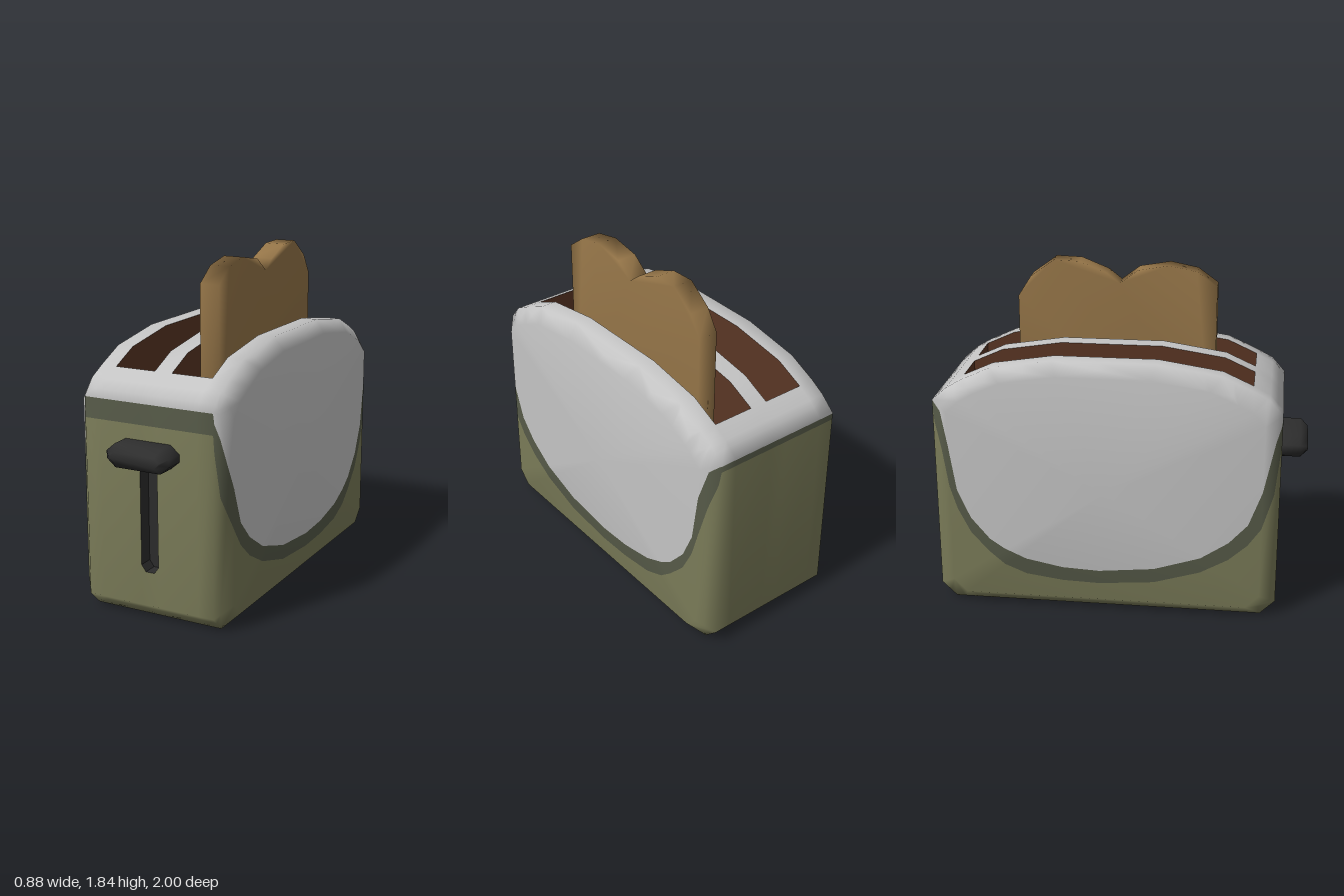
import * as THREE from 'three';
import { mergeVertices } from 'three/addons/utils/BufferGeometryUtils.js';

const material = (name, color, side = THREE.FrontSide) => {
  const m = new THREE.MeshStandardMaterial({ color, side });
  m.name = name;
  return m;
};

// Side outline of the body as [z, y]; points 4 to 9 span the bread slots
const PROFILE = [
  [0.78, 0], [0.86, 0.08], [0.86, 1.16], [0.79, 1.24], [0.7, 1.287], [0.54, 1.36], [0.2, 1.412],
  [-0.35, 1.412], [-0.68, 1.36], [-0.84, 1.287], [-0.92, 1.24], [-1, 1.17], [-1, 0.08], [-0.92, 0],
];
const STATIONS = [-0.44, -0.37, -0.28, -0.05, 0.05, 0.28, 0.37, 0.44];

// Paint boundaries as [z, top of base colour, top of trim]
const PAINT = [
  [0.86, 1.045, 1.155], [0.855, 0.95, 1.1], [0.83, 0.72, 1.02], [0.77, 0.54, 0.75], [0.7, 0.44, 0.56],
  [0.6, 0.35, 0.45], [0.45, 0.265, 0.35], [0.2, 0.19, 0.27], [-0.1, 0.165, 0.24], [-0.3, 0.172, 0.25],
  [-0.5, 0.2, 0.29], [-0.62, 0.25, 0.345], [-0.7, 0.32, 0.4], [-0.8, 0.43, 0.52], [-0.87, 0.57, 0.68],
  [-0.91, 0.7, 0.95], [-0.95, 0.9, 1.12], [-0.99, 1.05, 1.16], [-1, 1.13, 1.166],
];
const paintLevel = (z, column) => {
  const last = PAINT.length - 1;
  if (z >= PAINT[0][0]) return PAINT[0][column];
  if (z <= PAINT[last][0]) return PAINT[last][column];
  const i = PAINT.findIndex((row) => row[0] <= z);
  const a = PAINT[i - 1], b = PAINT[i];
  return a[column] + (b[column] - a[column]) * (z - a[0]) / (b[0] - a[0]);
};

// Cuts triangles along f = 0; vertices are [x, y, z, nx, ny, nz]
function split(tris, f) {
  const above = [], below = [];
  for (const tri of tris) {
    const hi = [], lo = [];
    tri.forEach((p, i) => {
      const q = tri[(i + 1) % 3], fp = f(p), fq = f(q);
      (fp >= 0 ? hi : lo).push(p);
      if ((fp >= 0) !== (fq >= 0)) {
        const t = fp / (fp - fq), cut = p.map((v, k) => v + (q[k] - v) * t);
        hi.push(cut);
        lo.push(cut);
      }
    });
    for (let i = 1; i + 1 < hi.length; i++) above.push([hi[0], hi[i], hi[i + 1]]);
    for (let i = 1; i + 1 < lo.length; i++) below.push([lo[0], lo[i], lo[i + 1]]);
  }
  return [above, below];
}

function fromTriangles(tris) {
  const g = new THREE.BufferGeometry(), verts = tris.flat();
  g.setAttribute('position', new THREE.Float32BufferAttribute(verts.flatMap((v) => v.slice(0, 3)), 3));
  if (verts[0].length > 3) {
    g.setAttribute('normal', new THREE.Float32BufferAttribute(verts.flatMap((v) => v.slice(3)), 3));
  } else g.computeVertexNormals();
  return g;
}

// Smooth shell with chamfered sides and two openings in the top
function shellTriangles() {
  const n = PROFILE.length, pos = [], idx = [];
  for (const x of STATIONS) {
    const end = Math.abs(x) > 0.4;
    for (const [z, y] of PROFILE) {
      pos.push(x, end ? 0.705 + (y - 0.705) * 0.905 : y, end ? -0.07 + (z + 0.07) * 0.905 : z);
    }
  }
  const ends = STATIONS.length - 1;
  for (let j = 0; j < ends; j++) {
    for (let i = 0; i < n; i++) {
      if ((j === 2 || j === 4) && i >= 4 && i < 9) continue;
      const k = (i + 1) % n, a = j * n + i, b = a + n, c = (j + 1) * n + k, d = j * n + k;
      idx.push(a, b, c, a, c, d);
    }
  }
  const centre = pos.length / 3;
  pos.push(-0.44, 0.7, -0.07, 0.44, 0.7, -0.07);
  for (let i = 0; i < n; i++) {
    const k = (i + 1) % n;
    idx.push(centre, i, k, centre + 1, ends * n + k, ends * n + i);
  }
  const g = new THREE.BufferGeometry();
  g.setAttribute('position', new THREE.Float32BufferAttribute(pos, 3));
  g.setIndex(idx);
  g.computeVertexNormals();
  const vertex = (i) => [g.attributes.position, g.attributes.normal]
    .flatMap((a) => [a.getX(i), a.getY(i), a.getZ(i)]);
  const tris = [];
  for (let i = 0; i < idx.length; i += 3) tris.push([vertex(idx[i]), vertex(idx[i + 1]), vertex(idx[i + 2])]);
  return tris;
}

// Recess: walls from a rim loop down to a flat floor
function recess(rim, toFloor) {
  const floor = rim.map(toFloor), tris = [];
  rim.forEach((p, i) => {
    const k = (i + 1) % rim.length;
    tris.push([p, rim[k], floor[k]], [p, floor[k], floor[i]]);
    if (i > 0 && k > 0) tris.push([floor[0], floor[i], floor[k]]);
  });
  return fromTriangles(tris);
}

function smoothExtrude(points, options) {
  const shape = new THREE.Shape(points.map(([x, y]) => new THREE.Vector2(x, y)));
  const g = new THREE.ExtrudeGeometry(shape, options);
  g.deleteAttribute('normal');
  g.deleteAttribute('uv');
  const merged = mergeVertices(g, 1e-4);
  merged.computeVertexNormals();
  return merged;
}

export function createModel() {
  const group = new THREE.Group();
  group.name = 'toaster';
  const mats = {
    shell: material('light grey shell', 0xc4c4c4),
    trim: material('dark olive trim', 0x565a48),
    base: material('olive base', 0x7a7b58),
    slot: material('brown slot', 0x5a3624, THREE.DoubleSide),
    bread: material('toasted bread', 0x957548),
    lever: material('black lever', 0x2e2e2e),
    groove: material('black groove', 0x2c2c2c, THREE.DoubleSide),
  };
  const add = (name, geometry, mat) => {
    const mesh = new THREE.Mesh(geometry, mat);
    mesh.name = name;
    group.add(mesh);
    return mesh;
  };

  // Lever groove outline, counter-clockwise on the front face
  const groove = [[-0.05, 0.3], [-0.025, 0.265], [0.025, 0.265], [0.05, 0.3], [0.05, 0.9], [-0.05, 0.9]];

  // Cut the groove out of the front face
  const isFront = (t) => t.every((v) => v[2] > 0.8599);
  const all = shellTriangles();
  let body = all.filter((t) => !isFront(t)), front = all.filter(isFront);
  groove.forEach(([x, y], i) => {
    const [u, v] = groove[(i + 1) % groove.length];
    const [inside, outside] = split(front, (p) => (u - x) * (p[1] - y) - (v - y) * (p[0] - x));
    body.push(...outside);
    front = inside;
  });

  // Divide the body into its three colours
  for (const [z] of PAINT.slice(1, -1)) body = split(body, (p) => p[2] - z).flat();
  const [upper, lower] = split(body, (p) => p[1] - paintLevel(p[2], 2));
  const [trim, base] = split(lower, (p) => p[1] - paintLevel(p[2], 1));
  add('shell', fromTriangles(upper), mats.shell);
  add('trim', fromTriangles(trim), mats.trim);
  add('base', fromTriangles(base), mats.base);

  // Bread slots
  for (const [name, x0, x1] of [['rightSlot', -0.28, -0.05], ['leftSlot', 0.05, 0.28]]) {
    const edge = PROFILE.slice(4, 10);
    const rim = [...edge.map(([z, y]) => [x0, y, z]), ...edge.reverse().map(([z, y]) => [x1, y, z])];
    add(name, recess(rim, ([x, , z]) => [x, 0.6, z]), mats.slot);
  }

  // Bread slice, outlined as [-z, y]
  const bread = smoothExtrude([
    [-0.48, 0.62], [0.61, 0.62], [0.61, 1.63], [0.54, 1.74], [0.41, 1.835], [0.27, 1.83], [0.12, 1.77],
    [0.05, 1.715], [-0.05, 1.79], [-0.22, 1.82], [-0.37, 1.79], [-0.48, 1.71],
  ], { depth: 0.11, bevelEnabled: false });
  bread.rotateY(Math.PI / 2).translate(0.09, 0, 0);
  add('bread', bread, mats.bread);

  // Lever groove and knob
  add('leverGroove', recess(groove.map(([x, y]) => [x, y, 0.86]), ([x, y]) => [x, y, 0.78]), mats.groove);
  const knob = smoothExtrude([
    [-0.18, -0.02], [-0.13, -0.0625], [0.13, -0.0625], [0.18, -0.02],
    [0.18, 0.02], [0.13, 0.0625], [-0.13, 0.0625], [-0.18, 0.02],
  ], { depth: 0.12, bevelSize: 0.035, bevelOffset: -0.035, bevelThickness: 0.04, bevelSegments: 1 });
  add('leverKnob', knob, mats.lever).position.set(0, 0.903, 0.84);
  return group;
}
